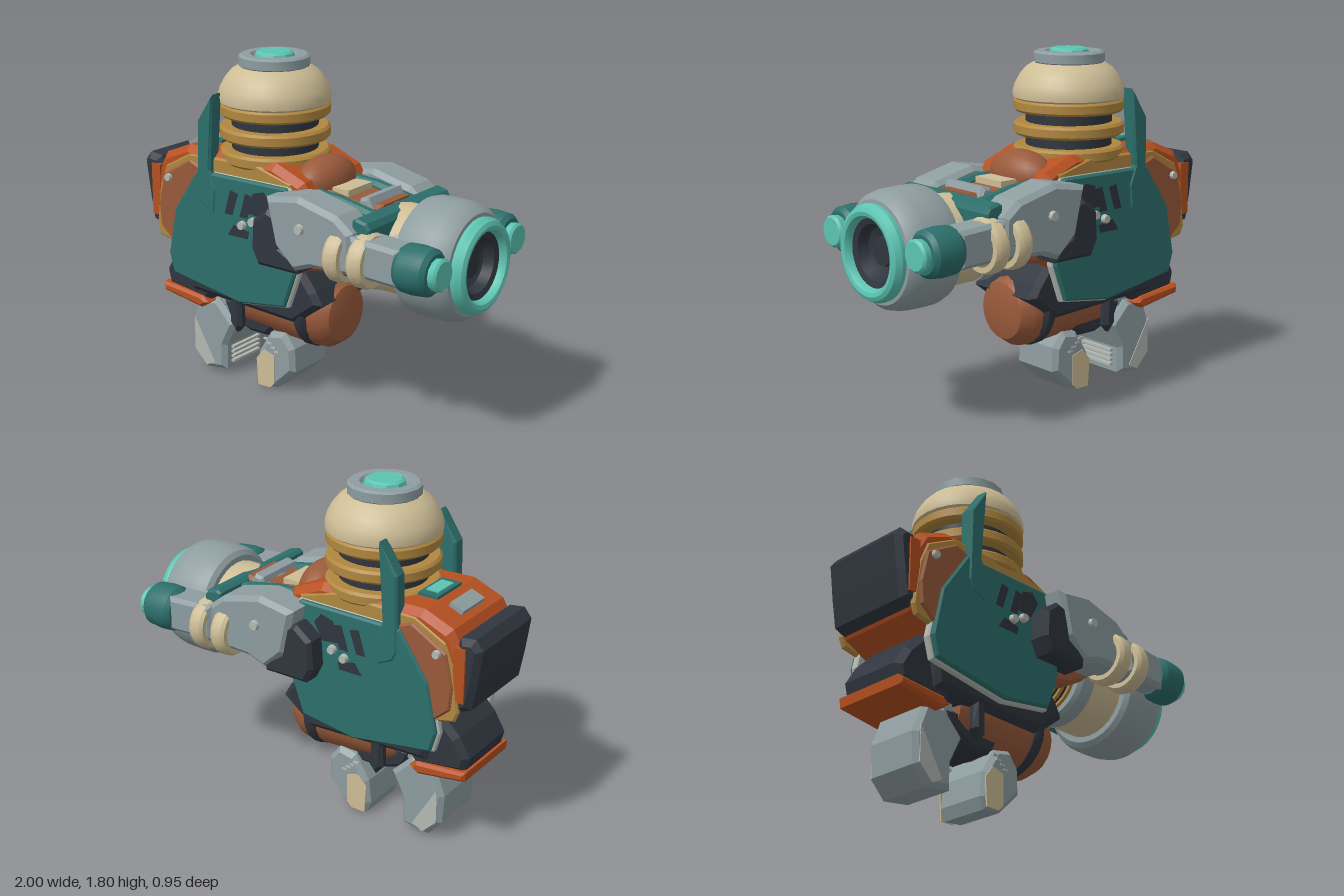
import * as THREE from 'three';
import { toCreasedNormals } from 'three/addons/utils/BufferGeometryUtils.js';

const paint = (name, color) => {
  const m = new THREE.MeshStandardMaterial({ color });
  m.name = name;
  return m;
};

export function createModel() {
  const teal = paint('deep teal', 0x2c6f6b), mint = paint('mint', 0x5cc4b2);
  const grey = paint('steel grey', 0x8e9da0), pale = paint('pale edge', 0xb4b9b2);
  const dark = paint('charcoal', 0x30363f), orange = paint('burnt orange', 0xb65020);
  const brown = paint('copper brown', 0x995a3b), tan = paint('brass', 0xb0873f);
  const cream = paint('cream', 0xcdbd96);

  const model = new THREE.Group();
  const add = (name, geo, mat, x = 0, y = 0, z = 0) => {
    const m = new THREE.Mesh(geo, mat);
    m.name = name;
    m.position.set(x, y, z);
    model.add(m);
    return m;
  };

  // Side outline in x/y extruded from z0 to z1, chamfered inside the outline
  const slab = (name, pts, z0, z1, mat, b = 0.02) => {
    const shape = new THREE.Shape(pts.map(p => new THREE.Vector2(p[0], p[1])));
    const geo = new THREE.ExtrudeGeometry(shape, {
      depth: z1 - z0 - 2 * b, bevelEnabled: b > 0, bevelSegments: 1,
      bevelSize: b, bevelThickness: b, bevelOffset: -b,
    });
    return add(name, geo, mat, 0, 0, z0 + b);
  };
  // The same slab on both flanks
  const flanks = (name, pts, z0, z1, mat, b = 0.02) => {
    slab(name + 'Left', pts, z0, z1, mat, b);
    slab(name + 'Right', pts, -z1, -z0, mat, b);
  };
  // Turned part: profile of [radius, distance along axis]
  const turned = (name, pts, mat, x, y, z, alongX = false, sides = 28) => {
    const lathe = new THREE.LatheGeometry(pts.map(p => new THREE.Vector2(p[0], p[1])), sides);
    const geo = toCreasedNormals(lathe, 0.55);
    if (alongX) geo.rotateZ(-Math.PI / 2);
    return add(name, geo, mat, x, y, z);
  };
  const box = (name, w, h, d, mat, x, y, z) => add(name, new THREE.BoxGeometry(w, h, d), mat, x, y, z);

  // Head: ribbed neck, dome, collar and lamp
  const hx = -0.295;
  turned('neckCore', [[0, 1.18], [0.225, 1.18], [0.225, 1.54], [0, 1.54]], dark, hx, 0, 0);
  for (const y of [1.27, 1.39, 1.51])
    turned('neckRing', [[0.2, y - 0.033], [0.275, y - 0.033], [0.288, y - 0.02], [0.288, y + 0.02],
      [0.275, y + 0.033], [0.2, y + 0.033]], tan, hx, 0, 0);
  turned('headDome', [[0, 1.535], [0.27, 1.535], [0.29, 1.55], [0.292, 1.58], [0.28, 1.62], [0.255, 1.665],
    [0.225, 1.7], [0.185, 1.725], [0, 1.725]], cream, hx, 0, 0);
  turned('headCollar', [[0.17, 1.715], [0.185, 1.73], [0.185, 1.775], [0.17, 1.785], [0.125, 1.785],
    [0.11, 1.765], [0, 1.765]], grey, hx, 0, 0, false, 16);
  turned('headLamp', [[0.11, 1.76], [0.1, 1.79], [0.085, 1.8], [0, 1.8]], mint, hx, 0, 0, false, 10);

  // Torso hull and core
  slab('hull', [[-0.94, 0.9], [-0.94, 1.06], [-0.84, 1.23], [-0.68, 1.295], [-0.1, 1.29], [0.08, 1.22],
    [0.12, 1.15], [0.12, 0.8], [0.04, 0.72], [-0.72, 0.72], [-0.88, 0.8]], -0.265, 0.265, orange, 0.035);
  slab('lowerCore', [[-0.75, 0.74], [0.05, 0.75], [0.13, 0.65], [0.17, 0.58], [0.0, 0.45], [-0.7, 0.48]],
    -0.235, 0.235, dark, 0.03);
  flanks('hullTrim', [[-0.9, 0.82], [-0.87, 1.05], [-0.82, 1.17], [-0.65, 1.26], [-0.2, 1.27], [0.02, 1.21],
    [0.02, 0.9], [-0.7, 0.73], [-0.88, 0.77]], 0.24, 0.272, tan, 0.01);
  flanks('hullSidePanel', [[-0.87, 0.95], [-0.83, 1.12], [-0.64, 1.23], [-0.56, 1.2], [-0.56, 0.85],
    [-0.78, 0.76], [-0.86, 0.83]], 0.25, 0.285, brown, 0.01);
  slab('backpack', [[-1, 1.16], [-0.96, 1.21], [-0.88, 1.2], [-0.85, 1.12], [-0.85, 0.8], [-0.95, 0.84],
    [-0.975, 0.98]], -0.26, 0.26, dark, 0.03);
  box('backpackStripe', 0.06, 0.28, 0.54, orange, -0.895, 1.02, 0);
  add('chestDome', new THREE.SphereGeometry(1, 24, 14), brown, 0.03, 1.18, 0).scale.set(0.125, 0.125, 0.205);
  box('rearTopVent', 0.08, 0.025, 0.2, grey, -0.77, 1.27, 0).rotation.z = 0.38;
  box('rearWindowFrame', 0.11, 0.03, 0.22, teal, -0.62, 1.295, 0);
  box('rearWindow', 0.07, 0.008, 0.14, mint, -0.62, 1.313, 0);

  // Armoured side plates with pale edging, fins and slots
  const armour = [[-0.58, 1.185], [-0.74, 0.95], [-0.795, 0.69], [-0.765, 0.585], [-0.31, 0.515],
    [-0.01, 0.56], [0.06, 0.75], [0.06, 1.12], [0, 1.19]];
  const rim = armour.map(([x, y]) => [-0.36 + (x + 0.36) * 1.025, 0.87 + (y - 0.87) * 1.03]);
  flanks('plateRim', rim, 0.235, 0.275, pale, 0.008);
  flanks('sidePlate', armour, 0.262, 0.298, teal, 0.01);
  flanks('fin', [[-0.46, 1.6], [-0.565, 1.45], [-0.575, 1.06], [-0.55, 1.01], [-0.46, 0.97],
    [-0.445, 1.1], [-0.485, 1.2]], 0.225, 0.305, teal, 0.012);
  for (const x of [-0.37, -0.27])
    flanks('plateSlot', [[x - 0.02, 0.99], [x + 0.03, 0.99], [x + 0.07, 1.11], [x + 0.02, 1.12]],
      0.295, 0.301, dark, 0);
  flanks('slotPanel', [[-0.23, 1.02], [-0.14, 1.01], [-0.09, 1.1], [-0.13, 1.15], [-0.2, 1.13]],
    0.295, 0.302, dark, 0);
  flanks('boltPanel', [[-0.37, 0.88], [-0.24, 0.88], [-0.23, 0.92], [-0.33, 0.94]], 0.295, 0.301, dark, 0);

  // Belly pod and rear skirt
  turned('bellyPod', [[0, -0.5], [0.16, -0.48], [0.185, -0.4], [0.2, 0.03], [0.195, 0.1], [0.15, 0.165],
    [0.1, 0.18], [0, 0.18]], brown, 0, 0.48, 0, true, 20);
  turned('bellyBand', [[0.17, -0.015], [0.215, -0.015], [0.225, 0], [0.225, 0.035], [0.205, 0.055],
    [0.17, 0.055]], dark, 0, 0.5, 0, true, 20);
  flanks('bellyStrap', [[-0.44, 0.52], [-0.37, 0.5], [-0.365, 0.34], [-0.4, 0.3], [-0.445, 0.35]],
    0.16, 0.225, dark);
  slab('rearSkirt', [[-0.76, 0.74], [-0.86, 0.64], [-0.92, 0.54], [-0.9, 0.46], [-0.62, 0.42], [-0.55, 0.5],
    [-0.6, 0.7]], -0.2, 0.2, dark, 0.03);
  slab('skirtEdge', [[-0.92, 0.475], [-0.915, 0.425], [-0.65, 0.385], [-0.6, 0.42], [-0.64, 0.45]],
    -0.22, 0.22, orange, 0.015);
  for (let i = 0; i < 3; i++)
    box('skirtRib', 0.04, 0.03, 0.34, dark, -0.79 - i * 0.05, 0.69 - i * 0.075, 0).rotation.z = 0.9;

  // Two broad feet, one behind the other
  slab('hip', [[-0.56, 0.44], [-0.52, 0.34], [-0.38, 0.29], [-0.26, 0.29], [-0.2, 0.36], [-0.22, 0.46]],
    -0.14, 0.14, dark);
  slab('ankle', [[-0.62, 0.48], [-0.65, 0.42], [-0.56, 0.36], [-0.48, 0.44], [-0.5, 0.5]], -0.13, 0.13, grey);
  slab('rearFoot', [[-0.71, 0.42], [-0.58, 0.43], [-0.46, 0.31], [-0.53, 0.17], [-0.53, 0.03], [-0.68, 0.01],
    [-0.76, 0.1], [-0.77, 0.26]], -0.165, 0.165, grey, 0.025);
  slab('frontFoot', [[-0.31, 0.19], [-0.23, 0.32], [-0.13, 0.34], [-0.07, 0.26], [-0.065, 0.13], [-0.19, 0.01],
    [-0.3, 0], [-0.325, 0.06]], -0.155, 0.155, grey, 0.025);
  flanks('rearFootFacet', [[-0.74, 0.3], [-0.6, 0.06], [-0.66, 0.03], [-0.74, 0.11]], 0.162, 0.169, pale, 0);
  flanks('frontFootInlay', [[-0.31, 0.16], [-0.26, 0.22], [-0.19, 0.2], [-0.19, 0.04], [-0.22, 0.01],
    [-0.3, 0.01]], 0.152, 0.159, cream, 0);
  for (let i = 0; i < 4; i++) {
    box('rearFootTread', 0.03, 0.014, 0.22, pale, -0.525, 0.07 + i * 0.027, 0);
    for (const s of [-1, 1])
      box('frontFootTread', 0.03, 0.01, 0.01, pale, -0.245 + i * 0.024, 0.285 - i * 0.02, s * 0.155);
  }

  // Main cannon
  const cy = 0.912;
  turned('cannonCore', [[0, 0.05], [0.18, 0.05], [0.18, 0.4], [0, 0.4]], dark, 0, cy, 0, true);
  for (const x of [0.19, 0.24, 0.29])
    turned('cannonRib', [[0.17, x], [0.195, x], [0.195, x + 0.02], [0.17, x + 0.02]], tan, 0, cy, 0, true);
  turned('cannonCollar', [[0.17, 0.32], [0.215, 0.32], [0.235, 0.34], [0.235, 0.42], [0.17, 0.42]],
    grey, 0, cy, 0, true);
  turned('cannonSleeve', [[0.2, 0.41], [0.23, 0.41], [0.23, 0.66], [0.2, 0.66]], cream, 0, cy, 0, true);
  turned('muzzleShroud', [[0.2, 0.63], [0.26, 0.63], [0.285, 0.65], [0.298, 0.69], [0.3, 0.76], [0.298, 0.84],
    [0.285, 0.9], [0.255, 0.935], [0.2, 0.94]], grey, 0, cy, 0, true, 36);
  turned('muzzleRing', [[0.235, 0.92], [0.24, 0.96], [0.225, 0.99], [0.205, 1], [0.185, 0.995], [0.17, 0.97],
    [0.165, 0.9]], mint, 0, cy, 0, true, 36);
  turned('muzzleBore', [[0.172, 0.96], [0.14, 0.95], [0.12, 0.9], [0.075, 0.88], [0.07, 0.91], [0, 0.91]],
    dark, 0, cy, 0, true);

  // Cannon mount
  flanks('mountArm', [[-0.1, 0.78], [0.03, 0.75], [0.22, 0.78], [0.39, 0.87], [0.3, 0.92], [0, 0.95]],
    0.13, 0.235, brown);
  slab('mountTop', [[0.1, 1.0], [0.1, 1.17], [0.3, 1.14], [0.47, 1.15], [0.47, 1.0]], -0.13, 0.13, brown);
  slab('mountHood', [[0.33, 1.1], [0.35, 1.17], [0.4, 1.18], [0.44, 1.1]], -0.15, 0.15, grey, 0.015);
  box('mountPad', 0.1, 0.06, 0.2, cream, 0.2, 1.15, 0);
  flanks('mountRail', [[0.08, 1.06], [0.08, 1.18], [0.24, 1.17], [0.5, 1.12], [0.5, 1.05]], 0.13, 0.2, teal);
  slab('crossBar', [[0.455, 1.03], [0.455, 1.13], [0.48, 1.145], [0.54, 1.13], [0.56, 1.1], [0.56, 1.03]],
    -0.36, 0.36, teal, 0.012);

  // Side arms with twin bands and small blasters
  flanks('armShoulder', [[-0.035, 1.17], [0.17, 1.205], [0.4, 1.15], [0.49, 1.08], [0.5, 0.87], [0.25, 0.86],
    [0.14, 0.82], [0.02, 0.93]], 0.21, 0.415, grey, 0.025);
  flanks('armElbow', [[-0.14, 0.88], [-0.13, 1.03], [-0.04, 1.1], [0.02, 1.08], [0.05, 0.92], [0.16, 0.86],
    [0.15, 0.8], [-0.1, 0.8]], 0.24, 0.4, dark);
  flanks('armBarrel', [[0.48, 1.07], [0.76, 1.055], [0.76, 0.87], [0.48, 0.88]], 0.245, 0.42, grey);
  const bolt = (name, x, y, z, r) => {
    const geo = new THREE.CylinderGeometry(r * 0.8, r, 0.03, 8).rotateX(Math.PI / 2 * Math.sign(z));
    add(name, geo, pale, x, y, z);
  };
  for (const s of [-1, 1]) {
    const z = s * 0.335;
    for (const x of [0.4, 0.54])
      turned('armBand', [[0.1, -0.043], [0.125, -0.043], [0.138, -0.025], [0.14, 0.02], [0.128, 0.043],
        [0.1, 0.043]], cream, x, 0.945, z, true, 20);
    turned('blaster', [[0, 0.74], [0.1, 0.74], [0.118, 0.765], [0.122, 0.83], [0.115, 0.9], [0.095, 0.922],
      [0, 0.922]], teal, 0, 0.96, z, true, 24);
    turned('blasterTip', [[0.075, 0.91], [0.082, 0.955], [0.07, 0.967], [0, 0.967]], mint, 0, 0.96, z, true, 12);
    add('shroudBulge', new THREE.SphereGeometry(0.08, 16, 12), pale, 0.64, 0.98, s * 0.22);
    bolt('armBolt', 0.19, 1.05, s * 0.42, 0.03);
    bolt('plateBolt', -0.27, 0.95, s * 0.308, 0.026);
    bolt('plateBolt', -0.2, 0.98, s * 0.308, 0.026);
    bolt('panelBolt', -0.785, 1.11, s * 0.29, 0.024);
  }

  return model;
}
